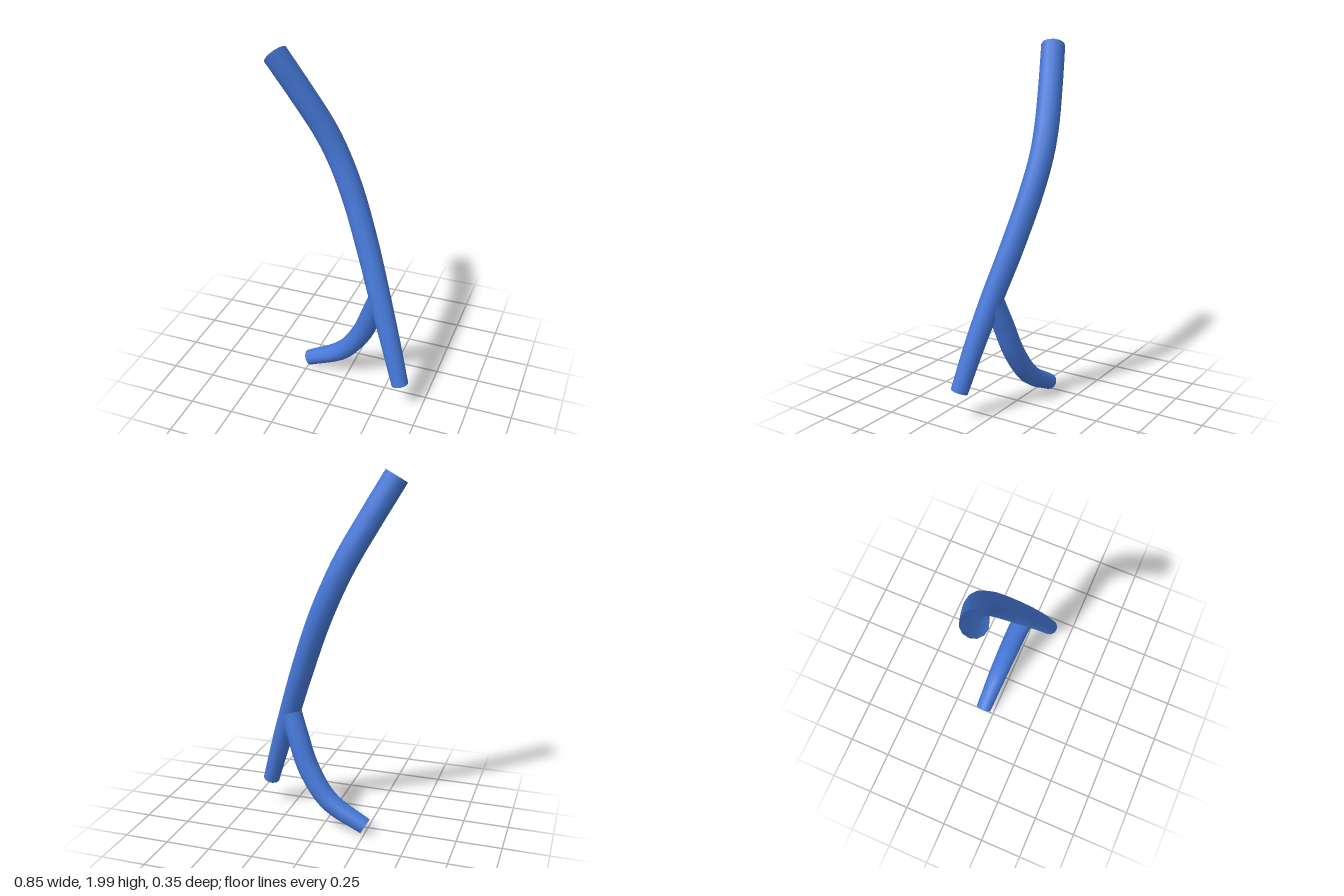
import * as THREE from 'three';

// Open tapered tube; each station is [x, y, z, radius]
function taperedTube(name, stations, steps, material) {
  const sides = 12;
  const curve = new THREE.CatmullRomCurve3(stations.map(([x, y, z]) => new THREE.Vector3(x, y, z)));
  const geometry = new THREE.TubeGeometry(curve, steps, 1, sides, false);
  const pos = geometry.attributes.position;
  const v = new THREE.Vector3();
  for (let i = 0; i <= steps; i++) {
    const t = curve.getUtoTmapping(i / steps);
    const centre = curve.getPoint(t);
    const s = t * (stations.length - 1);
    const k = Math.min(Math.floor(s), stations.length - 2);
    const radius = THREE.MathUtils.lerp(stations[k][3], stations[k + 1][3], s - k);
    for (let j = 0; j <= sides; j++) {
      const n = i * (sides + 1) + j;
      v.fromBufferAttribute(pos, n).sub(centre).multiplyScalar(radius).add(centre);
      pos.setXYZ(n, v.x, v.y, v.z);
    }
  }
  const mesh = new THREE.Mesh(geometry, material);
  mesh.name = name;
  return mesh;
}

export function createModel() {
  const group = new THREE.Group();
  group.name = 'branchingVessel';
  const blue = new THREE.MeshStandardMaterial({ color: 0x4678d8, side: THREE.DoubleSide });
  blue.name = 'vesselBlue';

  // Long main vessel, top to bottom
  group.add(taperedTube('mainVessel', [
    [-0.37, 1.967, 0, 0.066],
    [-0.255, 1.76, -0.052, 0.066],
    [-0.143, 1.553, -0.096, 0.066],
    [-0.071, 1.4, -0.108, 0.065],
    [0.015, 1.2, -0.092, 0.065],
    [0.124, 0.913, -0.037, 0.064],
    [0.217, 0.654, 0.026, 0.061],
    [0.302, 0.41, 0.08, 0.055],
    [0.379, 0.17, 0.126, 0.048],
  ], 40, blue));

  // Side branch curving down and away behind the main vessel
  group.add(taperedTube('sideBranch', [
    [0.208, 0.643, 0.015, 0.059],
    [0.157, 0.505, -0.01, 0.06],
    [0.09, 0.34, -0.033, 0.06],
    [-0.035, 0.17, -0.055, 0.056],
    [-0.25, 0.048, -0.064, 0.046],
  ], 28, blue));

  return group;
}
